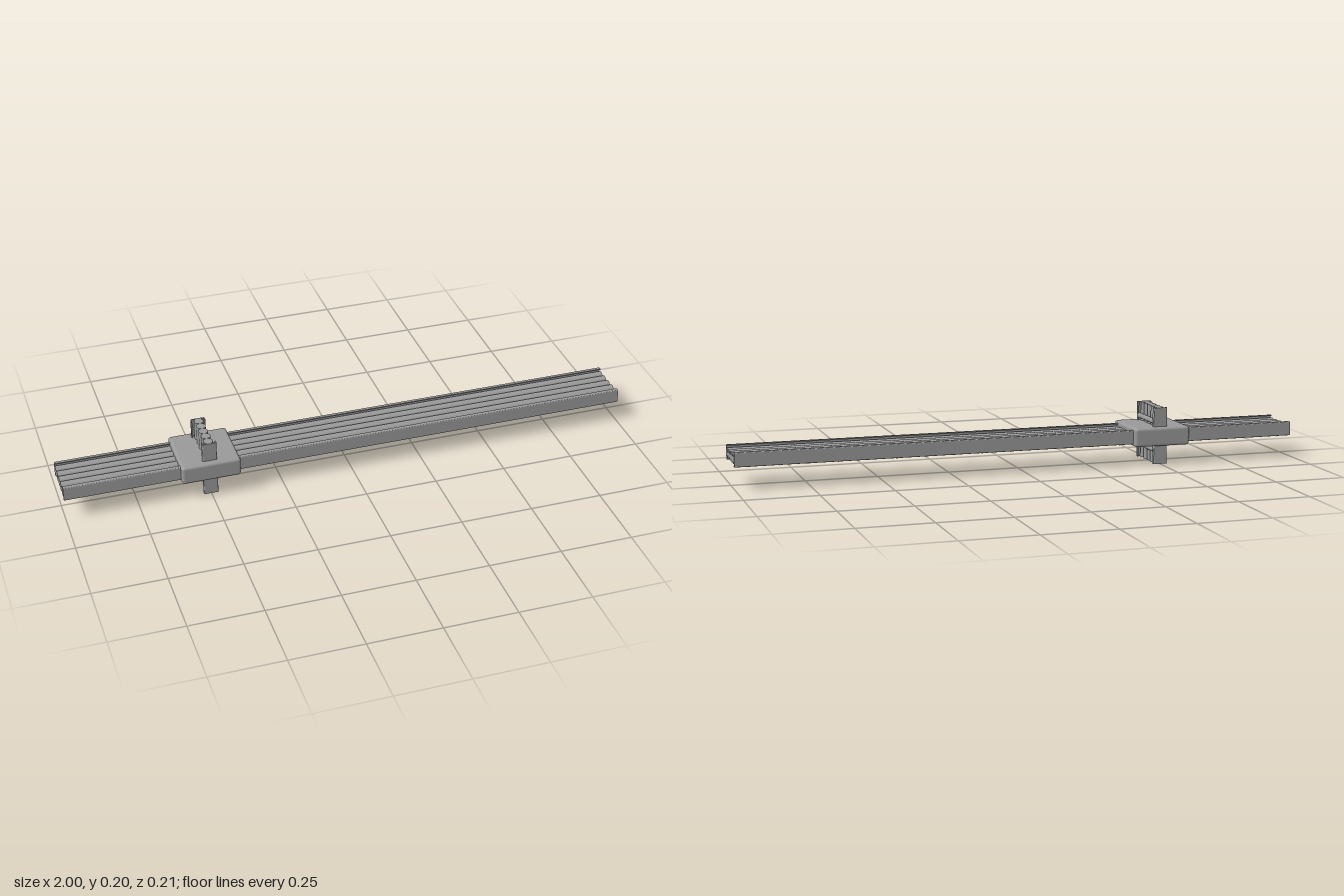
import * as THREE from 'three';
import { RoundedBoxGeometry } from 'three/addons/geometries/RoundedBoxGeometry.js';

export function createModel() {
  const grey = new THREE.MeshStandardMaterial({ color: 0x999999 });
  grey.name = 'grey metal';
  const model = new THREE.Group();
  model.name = 'crossedConduits';

  const add = (parent, name, geometry) => {
    const mesh = new THREE.Mesh(geometry, grey);
    mesh.name = name;
    parent.add(mesh);
    return mesh;
  };

  // C-section of a side rail: web outside, two flanges pointing inwards
  const railShape = () => {
    const out = 0.083, lip = 0.07, h = 0.025, t = 0.004, r = 0.004;
    const s = new THREE.Shape();
    s.moveTo(lip, -h);
    s.lineTo(out - r, -h);
    s.quadraticCurveTo(out, -h, out, -h + r);
    s.lineTo(out, h - r);
    s.quadraticCurveTo(out, h, out - r, h);
    s.lineTo(lip, h);
    s.lineTo(lip, h - t);
    s.lineTo(out - t, h - t);
    s.lineTo(out - t, -h + t);
    s.lineTo(lip, -h + t);
    s.closePath();
    return s;
  };

  // Tray of five pipes between two rails, with rungs along the underside
  const makeTray = (name, length) => {
    const tray = new THREE.Group();
    tray.name = name;

    for (const turn of [0, Math.PI]) {
      const rail = new THREE.ExtrudeGeometry(railShape(), {
        depth: length, bevelEnabled: false, curveSegments: 4,
      });
      rail.translate(0, 0, -length / 2);
      rail.rotateY(Math.PI / 2);
      rail.rotateX(turn);
      add(tray, turn ? 'leftRail' : 'rightRail', rail);
    }

    const pipe = new THREE.CylinderGeometry(0.0163, 0.0163, length, 24);
    pipe.rotateZ(Math.PI / 2);
    for (let i = -2; i <= 2; i++) add(tray, 'pipe', pipe).position.z = i * 0.032;

    const rung = new THREE.CylinderGeometry(0.009, 0.009, 0.152, 12);
    rung.rotateX(Math.PI / 2);
    const count = Math.round(length / 0.1);
    for (let i = 0; i < count; i++) {
      add(tray, 'rung', rung).position.set(-length / 2 + 0.05 + i * 0.1, -0.018, 0);
    }
    model.add(tray);
    return tray;
  };

  // Long horizontal tray
  makeTray('longTray', 2).position.y = 0.1;

  // Short upright tray, rungs facing +x
  const upright = makeTray('uprightTray', 0.2);
  upright.rotation.z = Math.PI / 2;
  upright.position.set(-0.5, 0.1, 0);

  // Junction block where the trays cross
  add(model, 'junctionBlock', new RoundedBoxGeometry(0.204, 0.066, 0.208, 3, 0.01))
    .position.set(-0.5, 0.1, 0);

  return model;
}
